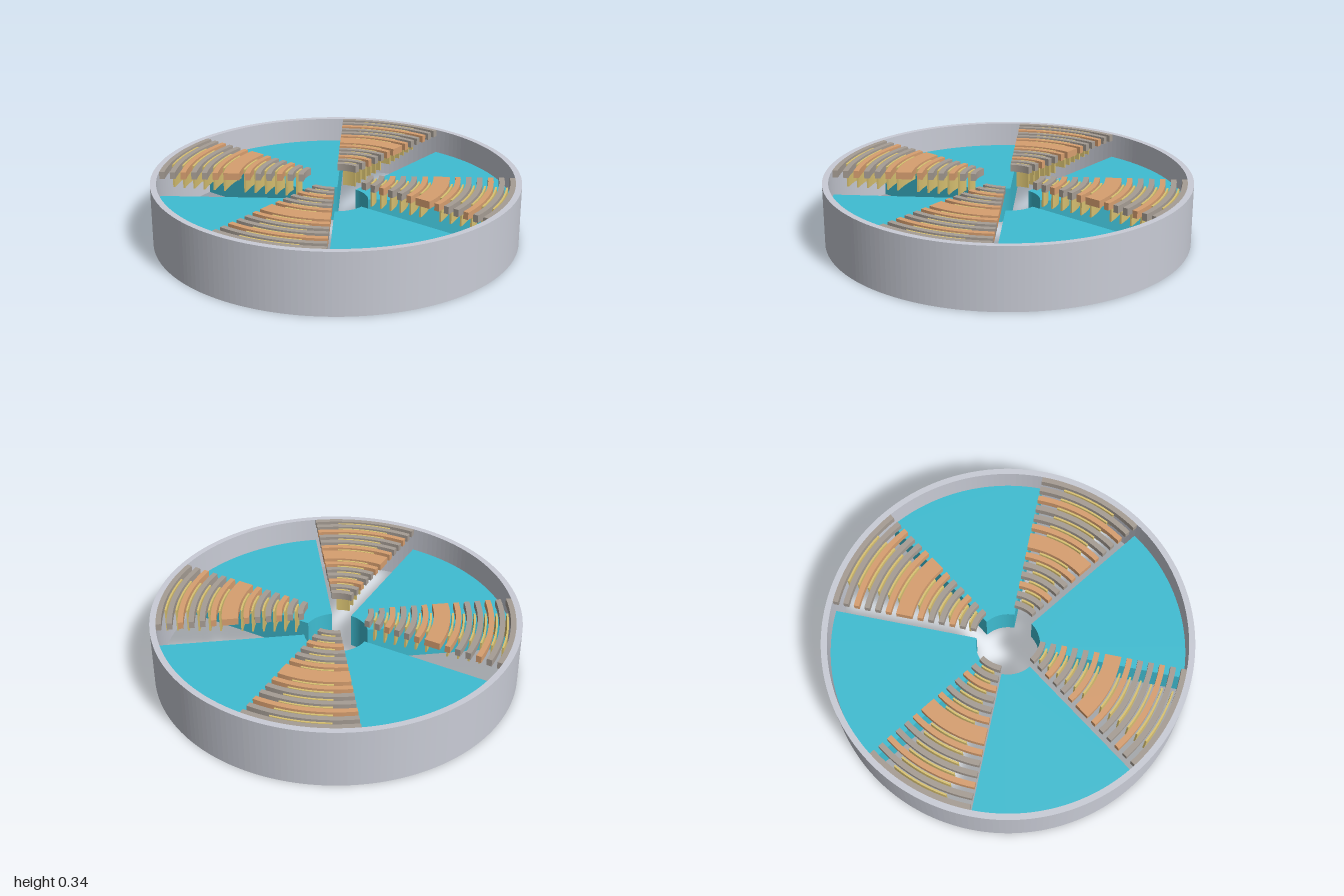
import * as THREE from 'three';

const material = (name, color) => {
  const m = new THREE.MeshStandardMaterial({ color });
  m.name = name;
  return m;
};

// Solid annular sector between two radii, two angles (degrees, +x towards +z) and two heights
function sector(r0, r1, a0, a1, y0, y1, segments) {
  const rad = THREE.MathUtils.degToRad;
  const shape = new THREE.Shape();
  shape.absarc(0, 0, r1, rad(a0), rad(a1), false);
  shape.absarc(0, 0, r0, rad(a1), rad(a0), true);
  shape.closePath();
  return extrude(shape, y0, y1, segments);
}

function extrude(shape, y0, y1, segments) {
  const g = new THREE.ExtrudeGeometry(shape, { depth: y1 - y0, bevelEnabled: false, curveSegments: segments });
  return g.rotateX(Math.PI / 2).translate(0, y1, 0);
}

export function createModel() {
  const model = new THREE.Group();
  model.name = 'slottedDrum';

  const silver = material('silver', 0xc9ccd6);
  const teal = material('teal', 0x3fbdd2);
  const grey = material('warm grey', 0xa69d94);
  const copper = material('copper', 0xd79f70);
  const gold = material('gold', 0xd9c272);

  const add = (parent, name, geometry, mat) => {
    const mesh = new THREE.Mesh(geometry, mat);
    mesh.name = name;
    parent.add(mesh);
  };

  const height = 0.34, inner = 0.175, outer = 0.967;
  const pitch = (outer - inner) / 13.5, width = pitch / 2;

  // Outer rim
  const rim = new THREE.Shape().absarc(0, 0, 1, 0, Math.PI * 2, false);
  rim.holes.push(new THREE.Path().absarc(0, 0, outer, 0, Math.PI * 2, true));
  add(model, 'outerRim', extrude(rim, 0, height, 96), silver);

  // Four quarters, each a solid wedge followed by a comb of curved bars
  for (let q = 0; q < 4; q++) {
    const quarter = new THREE.Group();
    quarter.name = 'quarter' + (q + 1);
    quarter.rotation.y = -q * Math.PI / 2;
    model.add(quarter);

    add(quarter, 'wedge', sector(inner, 0.966, 0, 54, 0, 0.2, 20), teal);

    // Bars at the top; slots 6 and 7 merge into one wide bar
    for (let i = 0; i < 14; i++) {
      if (i === 7) continue;
      const r = inner + i * pitch;
      const w = i === 6 ? pitch + width : width;
      const isCopper = [2, 5, 6, 8, 11].includes(i);
      add(quarter, isCopper ? 'copperBar' : 'greyBar',
        sector(r, r + w, 54, 90, height - 0.04, height, 14), isCopper ? copper : grey);
    }

    // Thin fins hanging in the gaps between bars
    for (let i = 0; i < 13; i++) {
      if (i === 6) continue;
      const r = inner + i * pitch + width * 1.5;
      add(quarter, 'fin', sector(r - 0.005, r + 0.005, 62.3, 81.7, 0.2, 0.335, 10), gold);
    }
  }
  return model;
}
